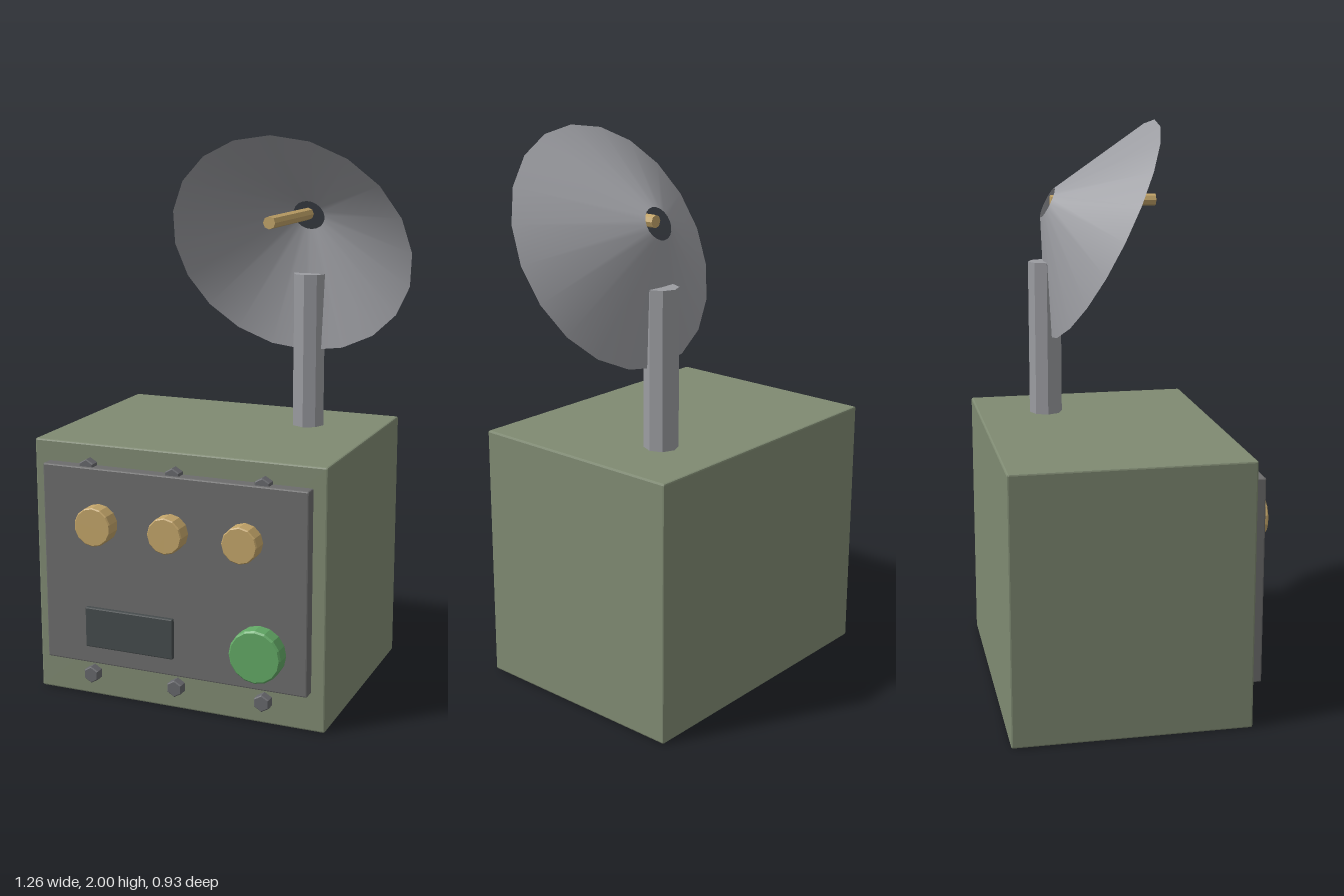
import * as THREE from 'three';
import { RoundedBoxGeometry } from 'three/addons/geometries/RoundedBoxGeometry.js';

const paint = (name, color, side = THREE.FrontSide) => {
  const m = new THREE.MeshStandardMaterial({ color, side });
  m.name = name;
  return m;
};

// Give every face its own flat normal
function facet(geometry) {
  const g = geometry.index ? geometry.toNonIndexed() : geometry;
  g.computeVertexNormals();
  return g;
}

// Closed prism along +y with a small chamfer on its outer end, base at y = 0
function chamferedPrism(radius, height, sides, bevel) {
  const profile = [[0, 0], [radius, 0], [radius, height - bevel], [radius - bevel, height], [0, height]];
  return facet(new THREE.LatheGeometry(profile.map(([x, y]) => new THREE.Vector2(x, y)), sides));
}

export function createModel() {
  const model = new THREE.Group();
  model.name = 'radioDishUnit';

  const olive = paint('olive', 0x7f8a72);
  const panelGray = paint('panelGray', 0x6c6c6c);
  const boltGray = paint('boltGray', 0x66676b);
  const brass = paint('brass', 0xc2a469);
  const green = paint('green', 0x62a865);
  const screenDark = paint('screenDark', 0x454b4c);
  const steel = paint('steel', 0x9b9ca1);
  const dishSteel = paint('dishSteel', 0x9b9ca1, THREE.DoubleSide);

  const add = (name, geometry, material, x, y, z) => {
    const mesh = new THREE.Mesh(geometry, material);
    mesh.name = name;
    mesh.position.set(x, y, z);
    model.add(mesh);
    return mesh;
  };
  const box = (w, h, d, bevel) => facet(new RoundedBoxGeometry(w, h, d, 1, bevel));

  // Cabinet, front panel and display
  add('cabinet', box(1.1, 0.94, 0.826, 0.006), olive, -0.085, 0.47, -0.052);
  add('frontPanel', box(0.996, 0.725, 0.055, 0.005), panelGray, -0.083, 0.502, 0.3775);
  add('display', box(0.34, 0.148, 0.03, 0.004), screenDark, -0.248, 0.28, 0.405);

  // Knobs and button facing forward
  [[-0.36, 0.07, 14], [-0.085, 0.065, 12], [0.19, 0.065, 12]].forEach(([x, r, sides], i) => {
    add('knob' + (i + 1), chamferedPrism(r, 0.06, sides, 0.004).rotateX(Math.PI / 2), brass, x, 0.668, 0.404);
  });
  add('button', chamferedPrism(0.095, 0.06, 16, 0.006).rotateX(Math.PI / 2), green, 0.245, 0.28, 0.402);

  // Hex bolts above and below the panel
  for (const y of [0.86, 0.086]) {
    for (const x of [-0.415, -0.085, 0.245]) {
      add('bolt', chamferedPrism(0.031, 0.036, 6, 0.004).rotateX(Math.PI / 2), boltGray, x, y, 0.359);
    }
  }

  // Mast on the roof
  add('mast', facet(new THREE.CylinderGeometry(0.06, 0.06, 0.57, 8)), steel, 0.19, 1.215, -0.215);

  // Open conical dish, tilted, with a hole at its apex
  const dish = new THREE.CylinderGeometry(0.058, 0.438, 0.22, 20, 1, true).rotateX(-1.104);
  add('dish', dish, dishSteel, 0.19, 1.661, -0.103);

  // Feed rod running forward through the hole
  const rod = facet(new THREE.CylinderGeometry(0.022, 0.022, 0.387, 8)).rotateX(Math.PI / 2);
  add('feedRod', rod, brass, 0.19, 1.716, 0.003);

  return model;
}
